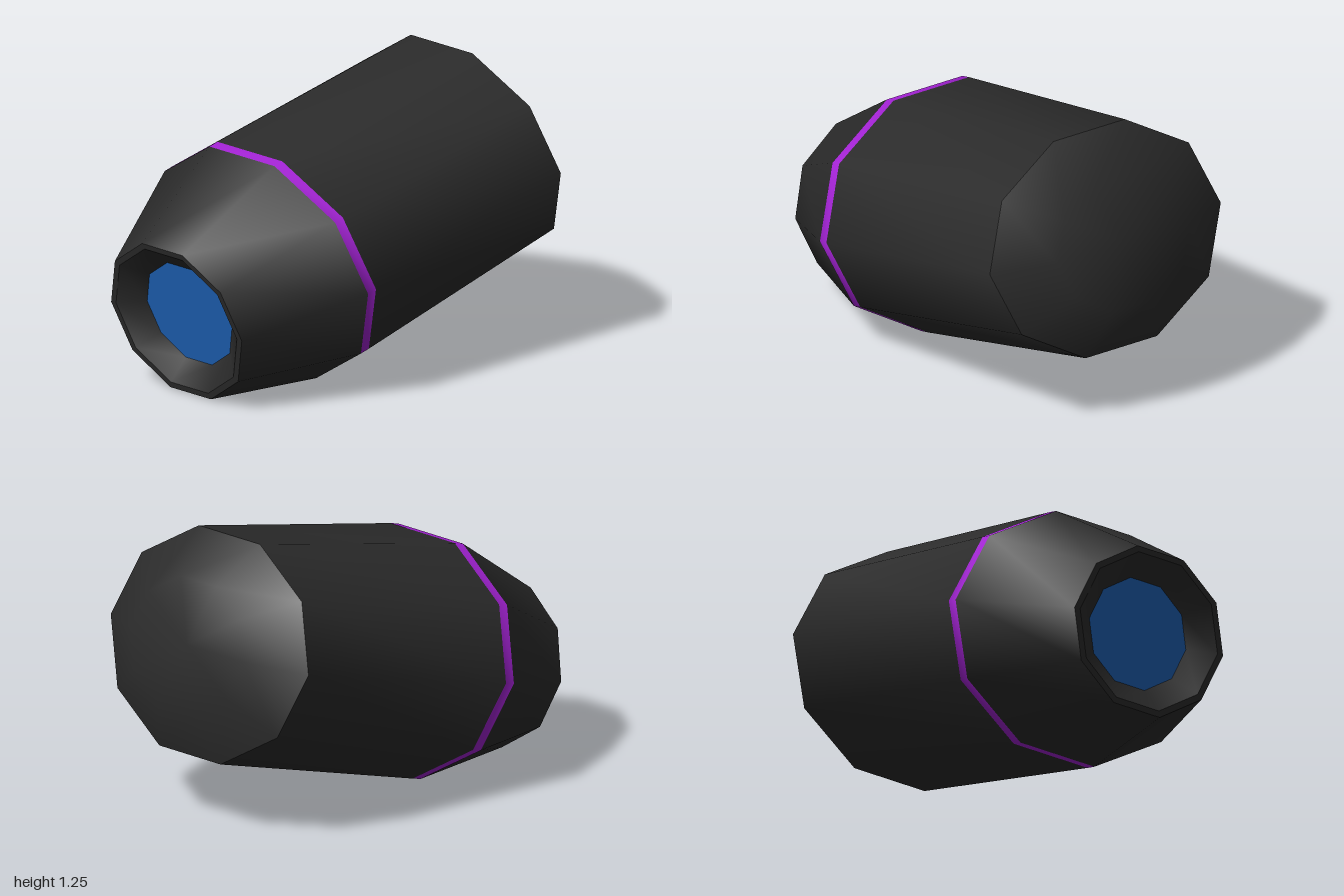
import * as THREE from 'three';

const SIDES = 10;

// Smooth skin through ten-sided oval sections [along, lift, radiusX, radiusY]
function loft(sections) {
  const pos = [], index = [];
  sections.forEach(([z, lift, rx, ry], s) => {
    for (let k = 0; k < SIDES; k++) {
      const a = (k / SIDES) * Math.PI * 2;
      pos.push(rx * Math.cos(a), lift + ry * Math.sin(a), z);
      if (s === 0) continue;
      const n = (k + 1) % SIDES, lo = (s - 1) * SIDES, hi = s * SIDES;
      // skip collapsed triangles at the poles
      if (sections[s - 1][2] > 0) index.push(lo + k, lo + n, hi + n);
      if (rx > 0) index.push(lo + k, hi + n, hi + k);
    }
  });
  const g = new THREE.BufferGeometry();
  g.setAttribute('position', new THREE.Float32BufferAttribute(pos, 3));
  g.setIndex(index);
  g.computeVertexNormals();
  return g;
}

export function createModel() {
  const material = (name, color) => {
    const m = new THREE.MeshStandardMaterial({ color });
    m.name = name;
    return m;
  };
  const shell = material('charcoal shell', 0x2b2b2b);
  const purple = material('purple band', 0xa322d4);
  const blue = material('blue lens', 0x1f65bb);

  // Sections from back to front
  const pole = [-1.323, -0.016, 0, 0];
  const capRing = [-1.323, -0.016, 0.35, 0.292];
  const backRim = [-1.185, -0.012, 0.61, 0.505];
  const bandBack = [-0.024, 0, 0.645, 0.54];
  const bandFront = [0.024, 0, 0.645, 0.54];
  const frontRim = [0.558, -0.026, 0.4, 0.366];
  const innerRim = [0.558, -0.025, 0.37, 0.339];
  const lensRim = [0.478, -0.028, 0.26, 0.241];
  const lensCentre = [0.478, -0.028, 0, 0];

  const pod = new THREE.Group();
  pod.name = 'tiltedPod';
  const parts = [
    ['backCap', shell, [pole, capRing, backRim]],
    ['body', shell, [backRim, bandBack]],
    ['band', purple, [bandBack, bandFront]],
    ['nose', shell, [bandFront, frontRim]],
    ['noseRim', shell, [frontRim, innerRim]],
    ['lensRecess', shell, [innerRim, lensRim]],
    ['lens', blue, [lensRim, lensCentre]],
  ];
  for (const [name, mat, sections] of parts) {
    const mesh = new THREE.Mesh(loft(sections), mat);
    mesh.name = name;
    pod.add(mesh);
  }

  // Nose points slightly down
  pod.rotation.x = THREE.MathUtils.degToRad(14);
  pod.position.set(0, 0.505, 0.355);

  const model = new THREE.Group();
  model.name = 'lensPod';
  model.add(pod);
  return model;
}
